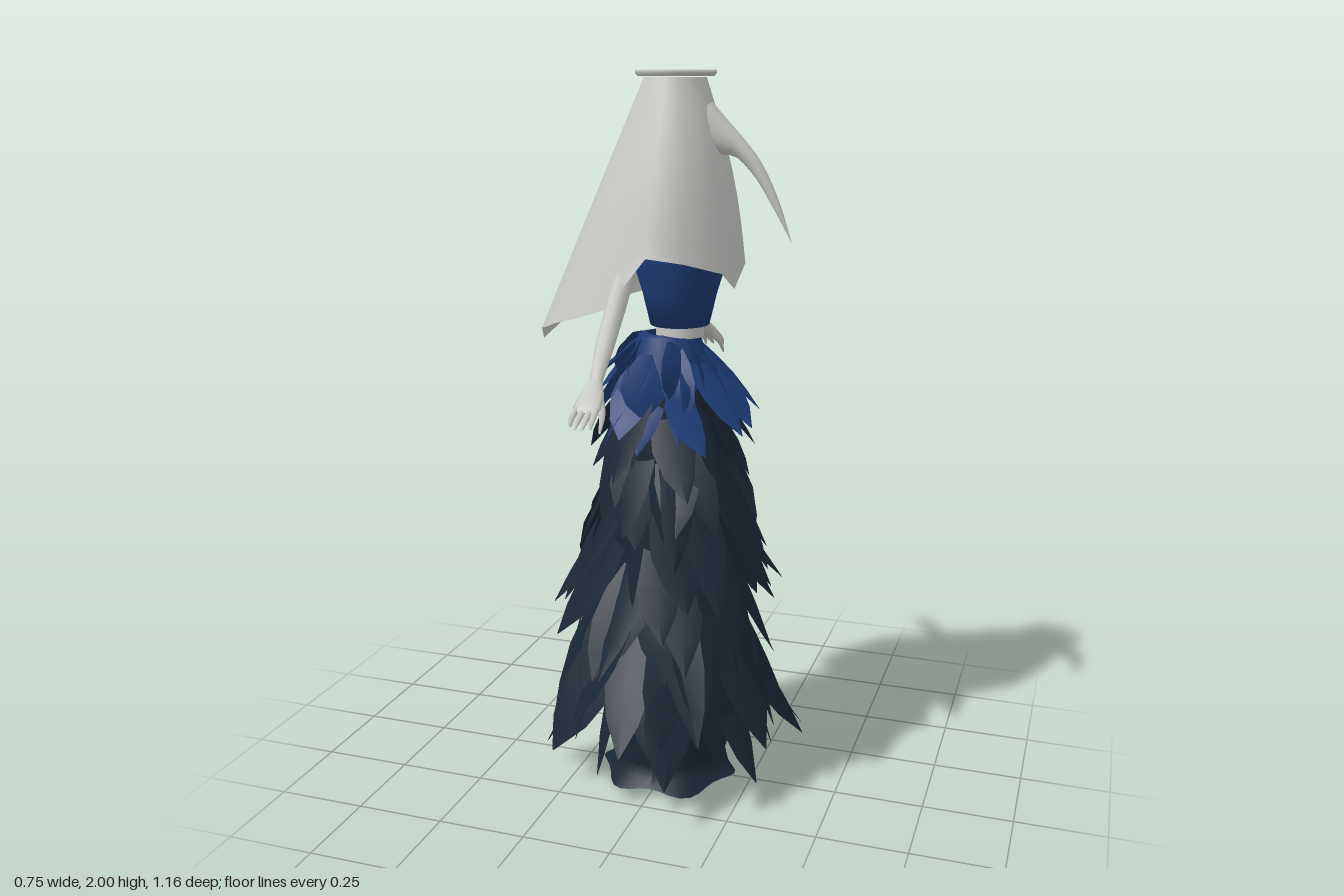
import * as THREE from 'three';
import { mergeGeometries } from 'three/addons/utils/BufferGeometryUtils.js';

const V = (x, y, z) => new THREE.Vector3(x, y, z);
const material = (name, color) => {
  const m = new THREE.MeshStandardMaterial({ color, side: THREE.DoubleSide });
  m.name = name;
  return m;
};

// Surface through rows of points; closed rows wrap around
function loft(rows, closed) {
  const n = rows[0].length, index = [];
  for (let i = 0; i < rows.length - 1; i++) {
    for (let j = 0; j < (closed ? n : n - 1); j++) {
      const a = i * n + j, b = i * n + (j + 1) % n;
      index.push(a, b, a + n, b, b + n, a + n);
    }
  }
  const g = new THREE.BufferGeometry().setFromPoints(rows.flat());
  g.setIndex(index);
  g.computeVertexNormals();
  return g;
}

// Tapered elliptical limb: each stop is [x, y, z, radius along side, radius across]
function limb(stops, side, sides = 10, steps = 14) {
  const curve = new THREE.CatmullRomCurve3(stops.map(s => V(s[0], s[1], s[2])));
  const rows = [];
  for (let i = 0; i <= steps; i++) {
    const t = i / steps, f = t * (stops.length - 1);
    const k = Math.min(Math.floor(f), stops.length - 2);
    const p = curve.getPoint(t);
    const across = curve.getTangent(t).cross(side).normalize();
    const ra = THREE.MathUtils.lerp(stops[k][3], stops[k + 1][3], f - k);
    const rb = THREE.MathUtils.lerp(stops[k][4], stops[k + 1][4], f - k);
    rows.push(Array.from({ length: sides }, (_, j) => {
      const a = j / sides * Math.PI * 2;
      return p.clone().addScaledVector(side, ra * Math.cos(a)).addScaledVector(across, rb * Math.sin(a));
    }));
  }
  return loft(rows, true);
}

// Hanging pointed feather with a raised spine, sweeping outward to its tip
function feather(angle, yTop, rTop, length, rTip, width, twist, roll) {
  const widths = [0.55, 0.95, 1, 0.7, 0.03];
  const rows = widths.map((w, i) => {
    const t = i / 4;
    const r = rTop + (rTip - rTop) * (0.6 * t + 0.4 * t * t) + 0.02 * Math.sin(Math.PI * t);
    const y = yTop - length * t;
    return [-1, 0, 1].map(s => {
      const u = s * w * width / 2 + twist * t * t;
      const d = r + (s === 0 ? 0.012 * w : s * roll * w);
      return V(d * Math.cos(angle) - u * Math.sin(angle), y, d * Math.sin(angle) + u * Math.cos(angle));
    });
  });
  return loft(rows, false);
}

export function createModel() {
  const model = new THREE.Group();
  const pale = material('pale grey', 0xc8c8c5);
  const blue = material('royal blue', 0x1d3b74);
  const navy = material('dark navy', 0x1a2634);
  const add = (name, geometry, mat, parent = model) => {
    const m = new THREE.Mesh(geometry, mat);
    m.name = name;
    parent.add(m);
    return m;
  };
  const lathe = (pts, n = 32) => new THREE.LatheGeometry(pts.map(p => new THREE.Vector2(p[0], p[1])), n);

  let seed = 7;
  const rand = () => (seed = (seed * 16807) % 2147483647) / 2147483647;
  const jitter = a => (rand() * 2 - 1) * a;

  const hood = new THREE.Group();
  hood.name = 'hood';
  hood.position.z = -0.008;
  model.add(hood);

  // Cloak: round neck lofted to a pointed, uneven hem
  const half = [[0.18, 1.435, 0], [0.178, 1.49, 0.115], [0.1, 1.52, 0.19], [0.02, 1.54, 0.26], [-0.09, 1.405, 0.256],
    [-0.18, 1.375, 0.246], [-0.25, 1.355, 0.215], [-0.305, 1.33, 0.14], [-0.345, 1.315, 0.085], [-0.377, 1.27, 0]];
  const hem = [...half, ...half.slice(1, -1).reverse().map(([x, y, z]) => [x, y, -z])];
  const rows = [];
  for (let i = 0; i <= 8; i++) {
    const t = i / 8;
    rows.push(hem.map(([x, y, z]) => {
      const a = Math.atan2(z, x - 0.015);
      const bulge = 0.02 * Math.sin(Math.PI * t);
      return V(0.015 + 0.084 * Math.cos(a), 1.982, 0.084 * Math.sin(a)).lerp(V(x, y, z), t)
        .add(V(bulge * Math.max(0, Math.cos(a)), 0, bulge * 0.5 * Math.sin(a)));
    }));
  }
  add('cloak', loft(rows, true), pale, hood);

  // Thin collar ring around the open neck, and the head inside
  add('collarRing', lathe([[0.09, 1.984], [0.1, 1.984], [0.107, 1.992], [0.107, 2], [0.098, 2], [0.09, 1.984]]), pale, hood)
    .position.x = 0.015;
  add('head', new THREE.SphereGeometry(0.082, 24, 16), pale, hood).position.set(0.015, 1.895, 0);

  // Long drooping beak, tall and narrow at its root
  add('beak', limb([[0.07, 1.86, 0, 0.07, 0.08], [0.13, 1.833, 0, 0.048, 0.052], [0.19, 1.803, 0, 0.028, 0.024],
    [0.24, 1.748, 0, 0.018, 0.018], [0.29, 1.66, 0, 0.011, 0.011], [0.335, 1.56, 0, 0, 0]], V(0, 0, 1), 12), pale, hood);

  // Bodice, with a slim waist showing in the gap below it
  const bodice = add('bodice', lathe([[0, 1.76], [0.08, 1.74], [0.125, 1.62], [0.13, 1.52], [0.1, 1.42], [0.08, 1.335], [0, 1.335]]), blue);
  bodice.position.x = 0.03;
  bodice.scale.z = 1.06;
  add('waist', new THREE.CylinderGeometry(0.065, 0.065, 0.03, 24), pale).position.set(0.03, 1.318, 0);

  // Arms with palms, four fingers and a thumb
  for (const s of [1, -1]) {
    const arm = new THREE.Group();
    arm.name = s > 0 ? 'armPositiveZ' : 'armNegativeZ';
    model.add(arm);
    const X = V(1, 0, 0);
    const part = (name, stops, sides, steps) =>
      add(name, limb(stops.map(([x, y, z, a, b]) => [x, y, z * s, a, b]), X, sides, steps), pale, arm);
    part('upperAndLowerArm', [[-0.045, 1.66, 0.08, 0.024, 0.024], [-0.052, 1.53, 0.172, 0.025, 0.025], [-0.055, 1.425, 0.258, 0.026, 0.029],
      [-0.05, 1.335, 0.36, 0.025, 0.023], [-0.042, 1.26, 0.445, 0.017, 0.014]]);
    part('palm', [[-0.042, 1.265, 0.44, 0.016, 0.013], [-0.04, 1.235, 0.475, 0.032, 0.016],
      [-0.038, 1.21, 0.515, 0.036, 0.012], [-0.037, 1.2, 0.53, 0.028, 0.006]]);
    [[-0.065, 0.556], [-0.046, 0.575], [-0.027, 0.578], [-0.011, 0.562]].forEach(([x, z], i) => {
      part('finger' + (i + 1), [[-0.038 + (x + 0.038) * 0.9, 1.212, 0.51, 0.009, 0.009],
        [x, 1.192, 0.545, 0.008, 0.008], [x, 1.172, z, 0.003, 0.003]], 6, 5);
    });
    part('thumb', [[-0.025, 1.235, 0.47, 0.013, 0.011], [-0.004, 1.195, 0.5, 0.009, 0.01],
      [0, 1.155, 0.53, 0.003, 0.003]], 6, 5);
  }

  // Underskirt: blue hips over a navy column with a flared, rippled hem
  add('hips', lathe([[0.06, 1.31], [0.085, 1.305], [0.122, 1.17]]), blue);
  const column = lathe([[0.122, 1.17], [0.14, 1], [0.16, 0.7], [0.17, 0.4], [0.175, 0.2], [0.15, 0.07], [0.16, 0.035], [0.19, 0.008]], 40);
  const pos = column.attributes.position;
  for (let i = 0; i < pos.count; i++) {
    if (pos.getY(i) > 0.02) continue;
    const a = Math.atan2(pos.getZ(i), pos.getX(i)), k = 1 + 0.06 * Math.cos(a * 6);
    pos.setXYZ(i, pos.getX(i) * k, 0.008 + 0.008 * Math.sin(a * 5), pos.getZ(i) * k);
  }
  column.computeVertexNormals();
  add('underskirt', column, navy);

  // Ragged overlapping feather rings: [top height, count, length, tip radius, width]
  const featherRings = (rings) => {
    const list = [];
    rings.forEach(([y, count, length, tip, width], r) => {
      const core = THREE.MathUtils.mapLinear(y, 1.3, 0.3, 0.075, 0.18);
      for (let i = 0; i < count; i++) {
        const angle = (i + (r % 2) / 2 + jitter(0.45)) / count * Math.PI * 2;
        list.push(feather(angle, y + jitter(0.04), core + jitter(0.015), length * (1 + jitter(0.2)), tip + jitter(0.05),
          width * (1 + jitter(0.25)), jitter(0.06), jitter(0.045)));
      }
    });
    return mergeGeometries(list);
  };
  add('darkFeathers', featherRings([
    [1.17, 11, 0.24, 0.215, 0.1], [1.09, 12, 0.28, 0.235, 0.115],
    [1, 13, 0.3, 0.255, 0.125], [0.91, 13, 0.31, 0.275, 0.13], [0.81, 13, 0.33, 0.295, 0.135],
    [0.71, 14, 0.34, 0.31, 0.14], [0.61, 14, 0.35, 0.33, 0.14], [0.51, 13, 0.34, 0.345, 0.14],
    [0.42, 12, 0.31, 0.345, 0.135]]), navy);
  add('blueFeathers', featherRings([
    [1.29, 11, 0.14, 0.165, 0.085], [1.28, 13, 0.19, 0.19, 0.09], [1.24, 12, 0.18, 0.22, 0.09], [1.16, 5, 0.17, 0.235, 0.08]]), blue);

  return model;
}
